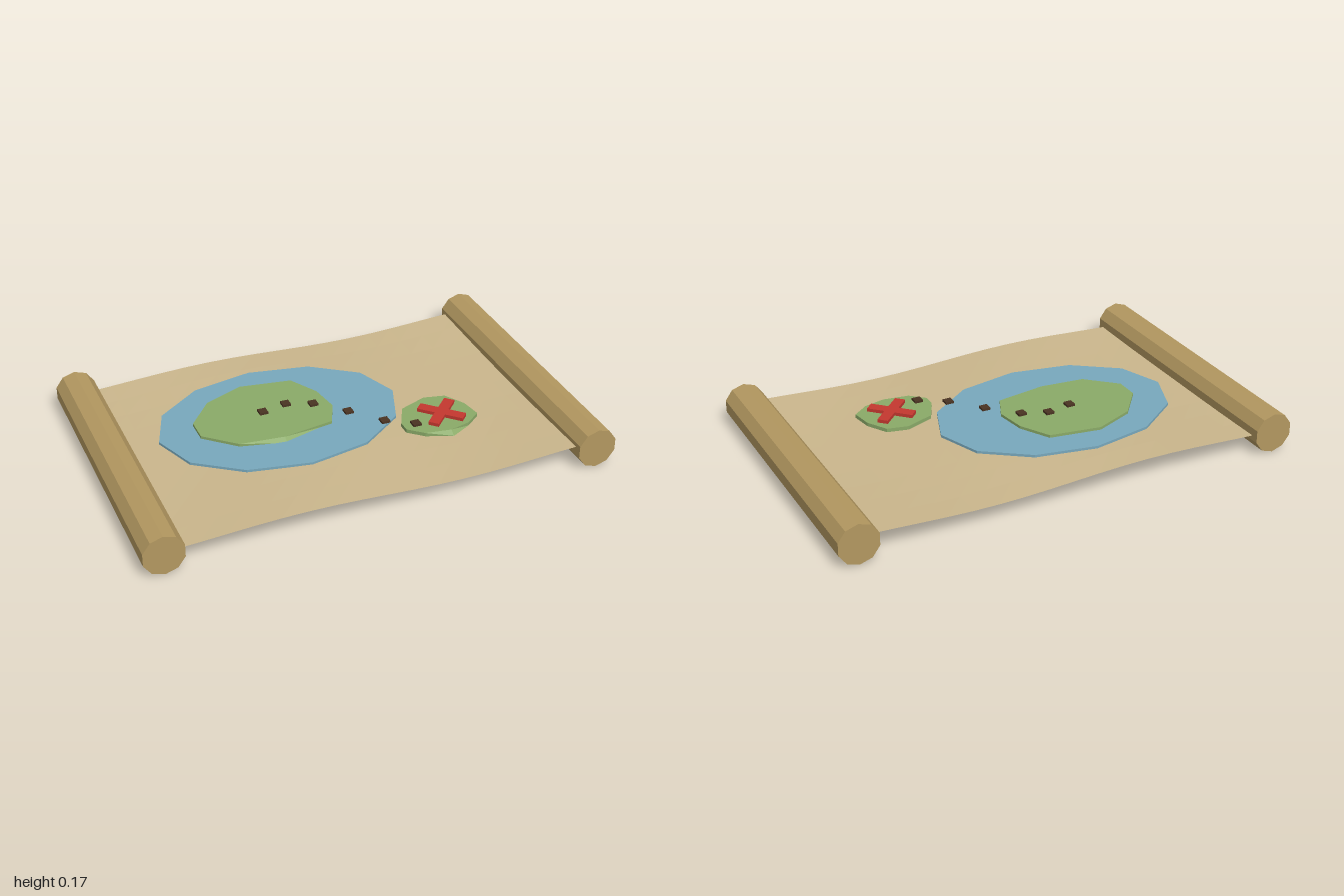
import * as THREE from 'three';

const material = (name, color, extra = {}) => {
  const m = new THREE.MeshStandardMaterial({ color, ...extra });
  m.name = name;
  return m;
};

export function createModel() {
  const group = new THREE.Group();
  const flat = { flatShading: true };
  const parchment = material('parchment', 0xcab68c, { side: THREE.DoubleSide, flatShading: true });
  const rollTan = material('rolledParchment', 0xb39860, flat);
  const water = material('waterBlue', 0x78a8bc, flat);
  const land = material('landGreen', 0x8aaa68, flat);
  const red = material('markRed', 0xc4372f, flat);
  const brown = material('trailBrown', 0x4a3322, flat);

  const add = (name, geometry, mat, x = 0, y = 0, z = 0) => {
    const mesh = new THREE.Mesh(geometry, mat);
    mesh.name = name;
    mesh.position.set(x, y, z);
    group.add(mesh);
    return mesh;
  };

  // Rolled ends
  for (const side of [-1, 1]) {
    const roll = new THREE.CylinderGeometry(0.0865, 0.0865, 1.26, 10).rotateX(Math.PI / 2);
    add(side > 0 ? 'leftRoll' : 'rightRoll', roll, rollTan, side * 0.9177, 0.0865, 0);
  }

  // Gently rippled sheet
  const sheet = new THREE.PlaneGeometry(1.76, 1.2, 16, 10).rotateX(-Math.PI / 2);
  const p = sheet.attributes.position;
  for (let i = 0; i < p.count; i++) {
    const x = p.getX(i), z = p.getZ(i);
    const shift = 0.2 * Math.cos(z * 2.6);
    p.setY(i, 0.089 - 0.013 * Math.sin(4.6 * (x - shift)));
  }
  sheet.computeVertexNormals();
  add('sheet', sheet, parchment);

  // Lake: a flat twelve-sided oval
  const lake = new THREE.CylinderGeometry(1, 1, 0.011, 12).scale(0.52, 1, 0.373);
  add('lake', lake, water, -0.2, 0.1065, -0.06);

  // Islands: outlines in x, z, with the front shore sloping outward at the base
  const island = (name, outline, bottom, top, shoreZ) => {
    const shape = new THREE.Shape(outline.map(([x, z]) => new THREE.Vector2(x, -z)));
    const geo = new THREE.ExtrudeGeometry(shape, { depth: top - bottom, bevelEnabled: false });
    geo.rotateX(-Math.PI / 2);
    const q = geo.attributes.position;
    for (let i = 0; i < q.count; i++) {
      if (q.getZ(i) > shoreZ && q.getY(i) < 0.001) q.setZ(i, q.getZ(i) + 0.025);
    }
    geo.computeVertexNormals();
    add(name, geo, land, 0, bottom, 0);
  };
  island('largeIsland', [
    [-0.555, -0.02], [-0.43, 0.095], [-0.24, 0.115], [-0.02, 0.08], [0.03, -0.03],
    [0.01, -0.16], [-0.06, -0.285], [-0.28, -0.32], [-0.45, -0.25], [-0.555, -0.12],
  ], 0.108, 0.124, 0.11);
  island('smallIsland', [
    [0.24, 0.25], [0.3, 0.305], [0.41, 0.322], [0.5, 0.3], [0.565, 0.25],
    [0.55, 0.16], [0.5, 0.075], [0.41, 0.055], [0.29, 0.1], [0.24, 0.2],
  ], 0.104, 0.12, 0.31);

  // Crossed bars marking the spot
  for (const turn of [-1, 1]) {
    const bar = add('crossBar', new THREE.BoxGeometry(0.2, 0.015, 0.045), red, 0.425, 0.127, 0.198);
    bar.rotation.y = turn * Math.PI / 4;
  }

  // Trail of square markers
  const trail = [[-0.26, -0.09], [-0.15, -0.112], [-0.043, -0.07], [0.07, 0.042], [0.18, 0.165], [0.29, 0.235]];
  for (const [x, z] of trail) {
    add('trailMarker', new THREE.BoxGeometry(0.036, 0.01, 0.036), brown, x, 0.129, z);
  }

  return group;
}
